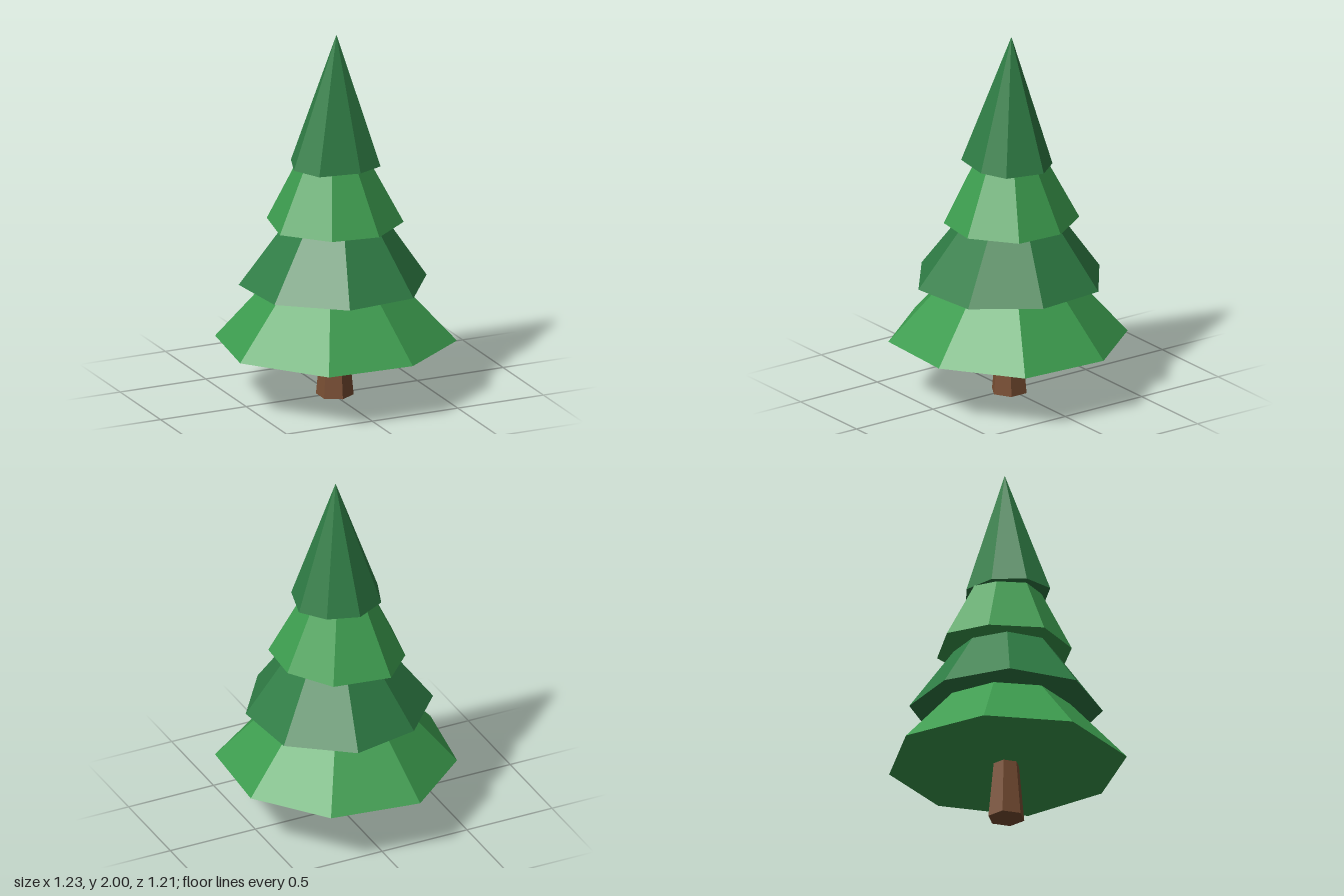
import * as THREE from 'three';

const LIGHT_GREEN = 0x3c9c4e;
const DARK_GREEN = 0x2f7d45;

// Each tier: base height, apex [x, y, z] and its irregular rim as [x, z] corners
const TIERS = [
  {
    name: 'bottomFoliage', color: LIGHT_GREEN, y: 0.31, apex: [0, 1.01, 0],
    rim: [[-0.17, -0.61], [0.32, -0.54], [0.61, -0.17], [0.58, 0.32],
      [0.19, 0.60], [-0.29, 0.58], [-0.615, 0.17], [-0.54, -0.30]],
  },
  {
    name: 'lowerMiddleFoliage', color: DARK_GREEN, y: 0.635, apex: [0.035, 1.34, 0.005],
    rim: [[0.135, -0.49], [0.455, -0.25], [0.49, 0.135], [0.26, 0.46],
      [-0.13, 0.50], [-0.45, 0.245], [-0.48, -0.135], [-0.23, -0.415]],
  },
  {
    name: 'upperMiddleFoliage', color: LIGHT_GREEN, y: 0.965, apex: [0, 1.67, 0.005],
    rim: [[-0.12, -0.365], [0.195, -0.315], [0.35, -0.08], [0.335, 0.18],
      [0.11, 0.355], [-0.15, 0.32], [-0.35, 0.10], [-0.29, -0.19]],
  },
  {
    name: 'topFoliage', color: DARK_GREEN, y: 1.29, apex: [0.025, 2, 0.005],
    rim: [[-0.01, -0.22], [0.16, -0.165], [0.26, -0.035], [0.205, 0.17],
      [0.06, 0.23], [-0.165, 0.195], [-0.24, 0.04], [-0.175, -0.135]],
  },
];

function makeMesh(name, geometry, color) {
  const mesh = new THREE.Mesh(geometry, new THREE.MeshStandardMaterial({ color, flatShading: true }));
  mesh.name = name;
  return mesh;
}

// Closed faceted cone from a rim and an off-centre apex
function tierGeometry({ y, apex, rim }) {
  const positions = [];
  rim.forEach(([ax, az], i) => {
    const [bx, bz] = rim[(i + 1) % rim.length];
    positions.push(bx, y, bz, ax, y, az, ...apex); // sloping side
    positions.push(ax, y, az, bx, y, bz, 0, y, 0); // underside
  });
  const geometry = new THREE.BufferGeometry();
  geometry.setAttribute('position', new THREE.Float32BufferAttribute(positions, 3));
  geometry.computeVertexNormals();
  return geometry;
}

export function createModel() {
  const tree = new THREE.Group();
  tree.name = 'pineTree';

  // Tapered six-sided trunk, tucked slightly into the lowest tier
  const trunk = makeMesh('trunk', new THREE.CylinderGeometry(0.068, 0.1, 0.34, 6), 0x7a4f33);
  trunk.position.set(0.013, 0.17, 0.01);
  tree.add(trunk);

  // Four overlapping foliage tiers
  for (const tier of TIERS) tree.add(makeMesh(tier.name, tierGeometry(tier), tier.color));

  return tree;
}
